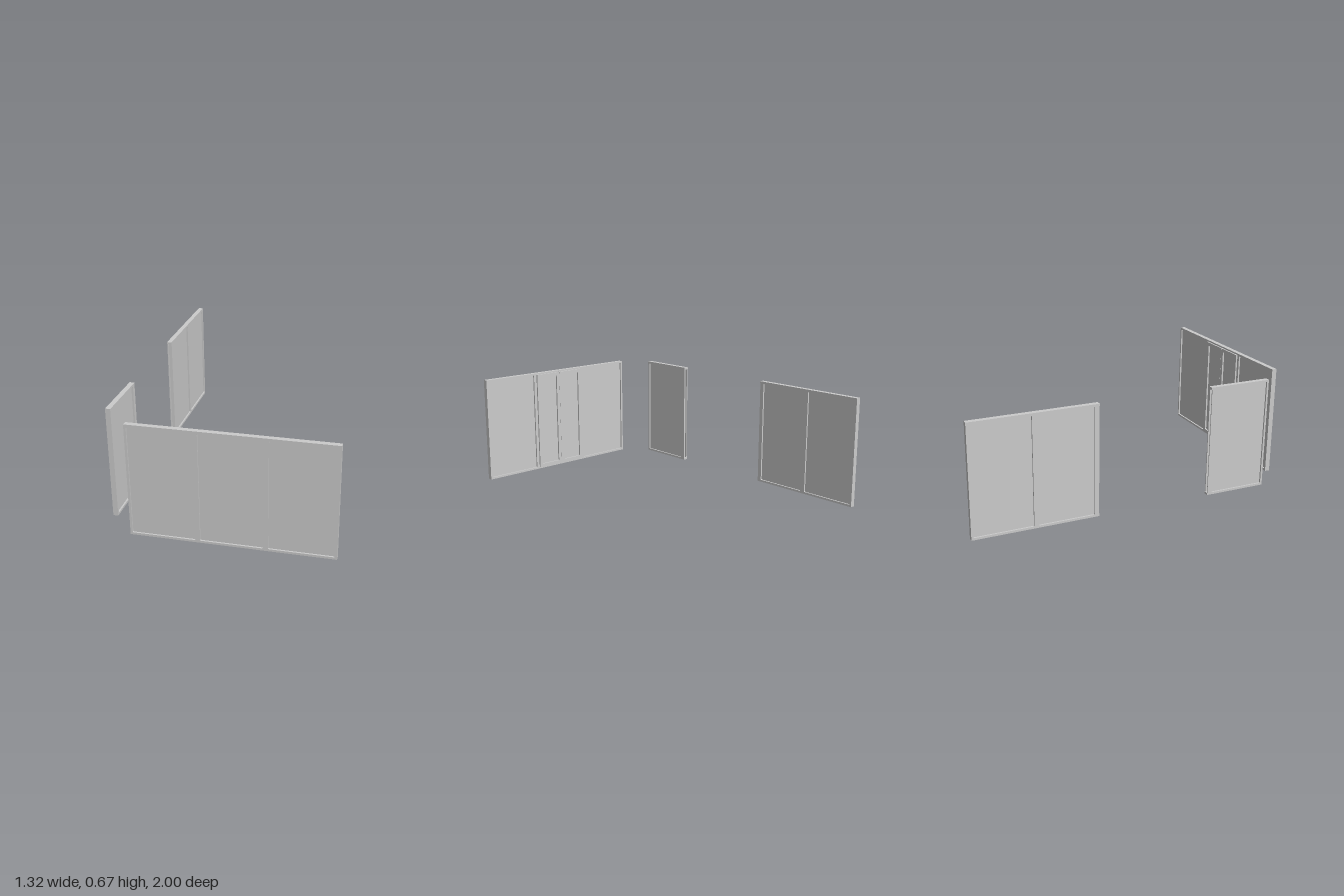
import * as THREE from 'three';

const H = 0.672, DEPTH = 0.03, RAIL = 0.013;
const material = new THREE.MeshStandardMaterial({ color: 0xcccccc });

function add(group, name, geometry, x = 0, y = 0, z = 0) {
  const mesh = new THREE.Mesh(geometry, material);
  mesh.name = name;
  mesh.position.set(x, y, z);
  group.add(mesh);
}

function box(group, name, x0, x1, y0, y1, z0, z1) {
  add(group, name, new THREE.BoxGeometry(x1 - x0, y1 - y0, z1 - z0),
    (x0 + x1) / 2, (y0 + y1) / 2, (z0 + z1) / 2);
}

function rectangle(x0, x1, y0, y1) {
  return new THREE.Shape([[x0, y0], [x1, y0], [x1, y1], [x0, y1]].map(p => new THREE.Vector2(...p)));
}

// Opening with slightly softened corners
function opening(x0, x1, y0, y1, r = 0.005) {
  const p = new THREE.Path();
  p.moveTo(x0 + r, y0);
  p.lineTo(x1 - r, y0);
  p.quadraticCurveTo(x1, y0, x1, y0 + r);
  p.lineTo(x1, y1 - r);
  p.quadraticCurveTo(x1, y1, x1 - r, y1);
  p.lineTo(x0 + r, y1);
  p.quadraticCurveTo(x0, y1, x0, y1 - r);
  p.lineTo(x0, y0 + r);
  p.quadraticCurveTo(x0, y0, x0 + r, y0);
  return p;
}

function frame(group, name, x0, x1, y0, y1, z0, z1, holes) {
  const shape = rectangle(x0, x1, y0, y1);
  holes.forEach(h => shape.holes.push(opening(...h)));
  add(group, name, new THREE.ExtrudeGeometry(shape,
    { depth: z1 - z0, bevelEnabled: false, curveSegments: 3 }), 0, 0, z0);
}

function pane(group, x0, x1) {
  box(group, 'pane', x0 - 0.003, x1 + 0.003, RAIL - 0.003, H - RAIL + 0.003, -0.005, 0.005);
}

// Post at a free end: a vertical channel between the two rails
function channelEnd(group, end, dir) {
  const inner = end - dir * 0.015, lip = end - dir * 0.003;
  const span = (a, b) => [Math.min(a, b), Math.max(a, b)];
  for (const y of [0, H - RAIL])
    box(group, 'railEnd', ...span(inner, end), y, y + RAIL, -DEPTH / 2, DEPTH / 2);
  for (const s of [-1, 1])
    box(group, 'channelLip', ...span(inner, lip), RAIL, H - RAIL,
      ...span(s * DEPTH / 2, s * (DEPTH / 2 - 0.006)));
}

// Side screen, drawn along local x and then turned to run along z
function sideScreen(name, x0, x1, bays, openDir) {
  const g = new THREE.Group();
  g.name = name;
  const start = openDir < 0 ? x0 + 0.015 : x0;
  const stop = openDir > 0 ? x1 - 0.015 : x1;
  frame(g, 'frame', start, stop, 0, H, -DEPTH / 2, DEPTH / 2,
    bays.map(([a, b]) => [a, b, RAIL, H - RAIL]));
  bays.forEach(([a, b]) => pane(g, a, b));
  channelEnd(g, openDir > 0 ? x1 : x0, openDir);
  g.rotation.y = -Math.PI / 2;
  g.position.x = -0.645;
  return g;
}

// Front screen with a pair of door leaves in the middle bay
function frontScreen() {
  const g = new THREE.Group();
  g.name = 'frontScreen';
  const bays = [[-0.48, -0.12], [-0.093, 0.258], [0.286, 0.646]];
  frame(g, 'frame', -0.493, 0.658, 0, H, -DEPTH / 2, DEPTH / 2,
    bays.map(([a, b]) => [a, b, RAIL, H - RAIL]));
  pane(g, ...bays[0]);
  pane(g, ...bays[2]);

  // Door leaves standing slightly proud of the back
  for (const x0 of [-0.101, 0.083]) {
    const x1 = x0 + 0.183, m = 0.022;
    frame(g, 'doorLeafFrame', x0, x1, 0.01, H - 0.01, -0.025, -0.014,
      [[x0 + m, x1 - m, 0.01 + m, H - 0.01 - m]]);
  }
  box(g, 'doorPane', -0.096, 0.261, RAIL - 0.003, H - RAIL + 0.003, -0.0145, 0.005);
  g.position.z = 0.985;
  return g;
}

export function createModel() {
  const model = new THREE.Group();
  model.name = 'glazedScreens';
  model.add(
    frontScreen(),
    sideScreen('smallSideScreen', 0.447, 0.832, [[0.477, 0.82]], -1),
    sideScreen('largeSideScreen', -1, -0.252, [[-0.988, -0.642], [-0.614, -0.281]], 1)
  );
  return model;
}
